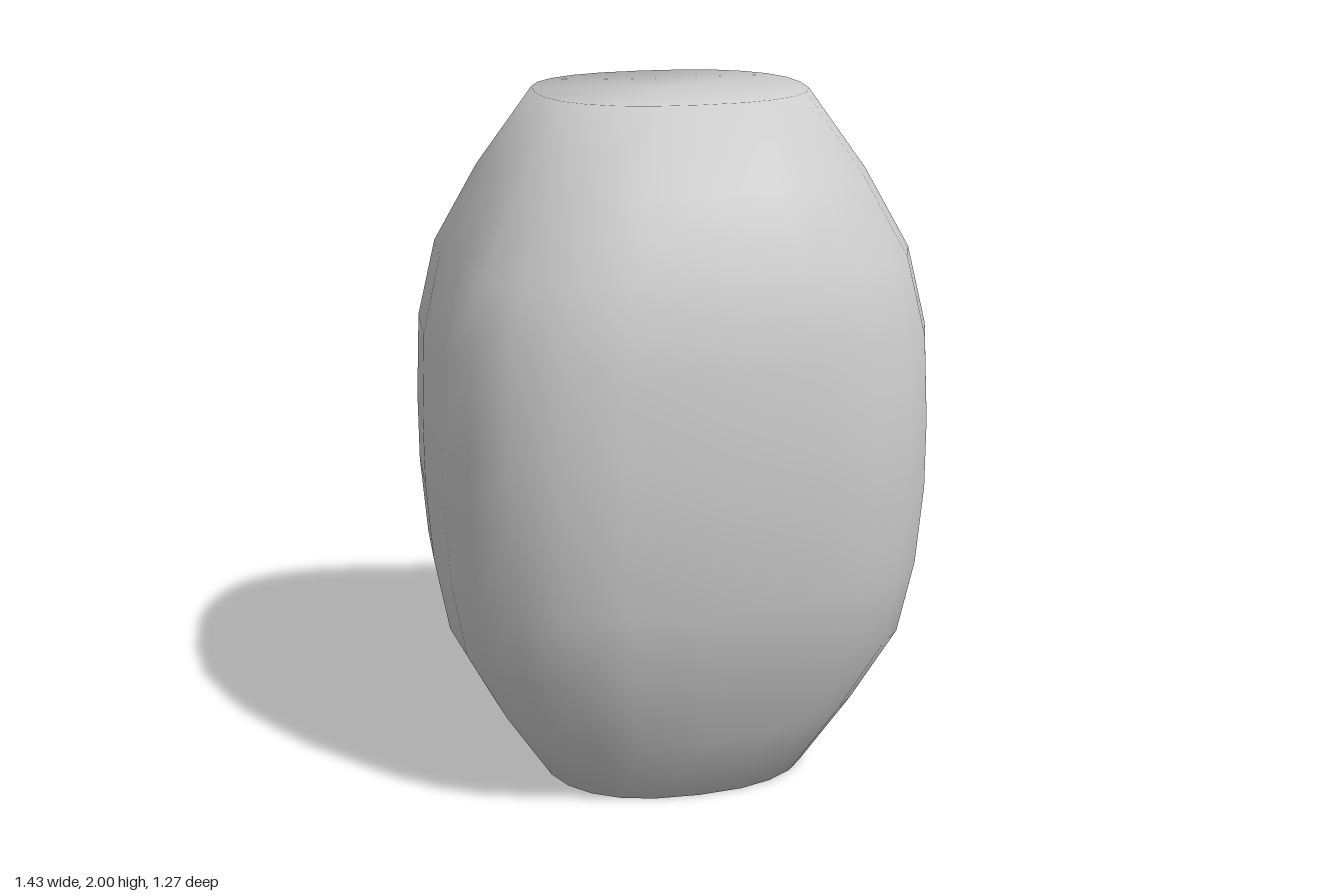
import * as THREE from 'three';

const material = new THREE.MeshStandardMaterial({ color: 0xcccccc });

// Skin a list of closed rings (arrays of Vector3, counter-clockwise seen from the end) and cap both ends
function loft(rings, sharpCaps) {
  const n = rings[0].length, pos = [], index = [];
  const add = (p) => pos.push(p.x, p.y, p.z) / 3 - 1;
  const ids = rings.map((ring) => ring.map(add));
  for (let i = 0; i < rings.length - 1; i++) {
    for (let j = 0; j < n; j++) {
      const k = (j + 1) % n;
      index.push(ids[i][j], ids[i][k], ids[i + 1][k], ids[i][j], ids[i + 1][k], ids[i + 1][j]);
    }
  }
  for (const end of [0, rings.length - 1]) {
    const ring = sharpCaps ? rings[end].map(add) : ids[end];
    const middle = new THREE.Vector3();
    rings[end].forEach((p) => middle.addScaledVector(p, 1 / n));
    const c = add(middle);
    for (let j = 0; j < n; j++) {
      const k = (j + 1) % n;
      if (end === 0) index.push(c, ring[k], ring[j]);
      else index.push(c, ring[j], ring[k]);
    }
  }
  const geometry = new THREE.BufferGeometry();
  geometry.setAttribute('position', new THREE.Float32BufferAttribute(pos, 3));
  geometry.setIndex(index);
  geometry.computeVertexNormals();
  return geometry;
}

// Six-sided rod through points [x, y, z, radius], with mitred bends
function rod(points) {
  const at = points.map((p) => new THREE.Vector3(p[0], p[1], p[2]));
  const flat = (a, b) => b.clone().sub(a).setZ(0).normalize();
  const rings = at.map((p, i) => {
    const before = flat(at[Math.max(i - 1, 0)], at[Math.max(i, 1)]);
    const last = at.length - 1;
    const after = flat(at[Math.min(i, last - 1)], at[Math.min(i + 1, last)]);
    const t = before.clone().add(after).normalize();
    const r = points[i][3], mitre = r / t.dot(after);
    return Array.from({ length: 6 }, (_, j) => {
      const a = (j / 6) * Math.PI * 2, s = Math.sin(a) * mitre;
      return new THREE.Vector3(p.x + t.y * s, p.y - t.x * s, p.z + Math.cos(a) * r);
    });
  });
  return loft(rings, true);
}

export function createModel() {
  const model = new THREE.Group();
  const part = (name, geometry) => {
    const mesh = new THREE.Mesh(geometry, material);
    mesh.name = name;
    model.add(mesh);
    return mesh;
  };

  // Barrel-shaped body: [height, half width, half depth, squareness]
  const sections = [
    [0, 0.4, 0.345, 2.4], [0.22, 0.54, 0.45, 2.6], [0.45, 0.66, 0.555, 2.75],
    [0.67, 0.7, 0.597, 2.8], [0.9, 0.717, 0.617, 2.8], [1.1, 0.717, 0.615, 2.8],
    [1.34, 0.706, 0.595, 2.8], [1.56, 0.655, 0.55, 2.75], [1.78, 0.535, 0.453, 2.6],
    [2, 0.38, 0.327, 2.4],
  ];
  const power = (v, e) => Math.sign(v) * Math.abs(v) ** e;
  part('body', loft(sections.map(([y, w, d, e]) =>
    Array.from({ length: 24 }, (_, j) => {
      const a = (j / 24) * Math.PI * 2;
      return new THREE.Vector3(w * power(Math.sin(a), 2 / e), y, 0.015 + d * power(Math.cos(a), 2 / e));
    })), false));

  // Two bowed bars across the back
  for (const [name, y] of [['upperBackBar', 1.465], ['lowerBackBar', 0.545]]) {
    part(name, rod([
      [-0.505, y, -0.554, 0.05], [-0.25, y, -0.577, 0.05], [0, y, -0.588, 0.05],
      [0.25, y, -0.577, 0.05], [0.505, y, -0.554, 0.05],
    ]));
  }

  // Bent strips between the bars, each with one arm pinched in the middle; one is the other turned half round
  const middle = 1.08;
  for (const [name, s] of [['leftBackChevron', 1], ['rightBackChevron', -1]]) {
    part(name, rod([
      [s * 0.42, middle - s * 0.265, -0.588, 0.034],
      [s * 0.25, middle, -0.594, 0.034],
      [s * 0.33, middle + s * 0.13, -0.594, 0.01],
      [s * 0.415, middle + s * 0.26, -0.59, 0.033],
    ]));
  }
  return model;
}
